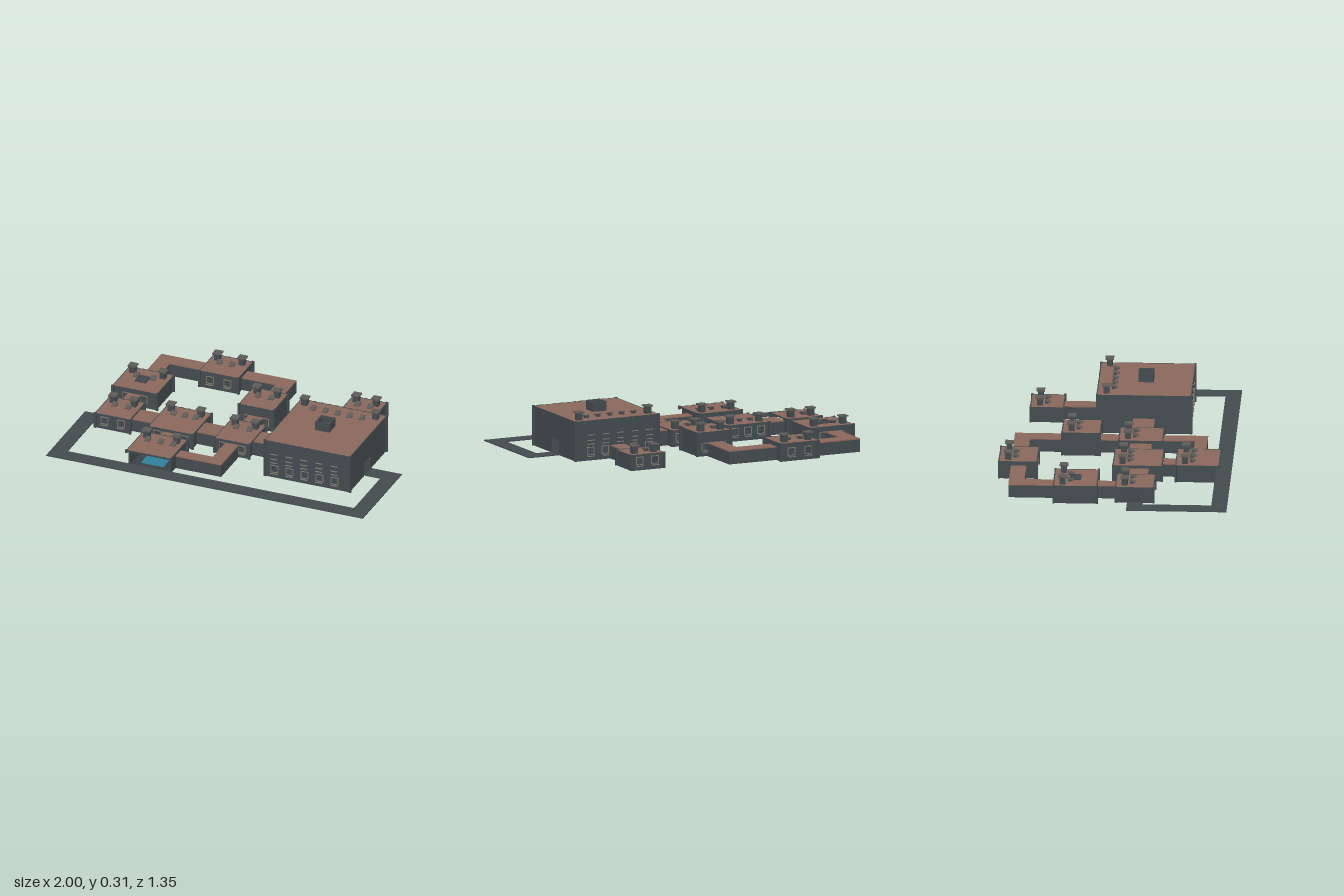
import * as THREE from 'three';

const mat = (color) => new THREE.MeshStandardMaterial({ color, flatShading: true, side: THREE.DoubleSide });
const SLATE = mat(0x434b4f), ROOF = mat(0x8a685b), FLOOR = mat(0x3a4144);
const METAL = mat(0x5c5b58), TRIM = mat(0x827a6e), WATER = mat(0x2f7f9a);
const Y0 = 0.02; // ground level
const T = 0.008; // wall thickness

// Box given by its limits on each axis
function box(parent, name, m, x0, x1, y0, y1, z0, z1) {
  const b = new THREE.Mesh(new THREE.BoxGeometry(x1 - x0, y1 - y0, z1 - z0), m);
  b.position.set((x0 + x1) / 2, (y0 + y1) / 2, (z0 + z1) / 2);
  b.name = name;
  parent.add(b);
  return b;
}

// Upright wall with rectangular holes [a0, a1, b0, b1], drawn in XY and extruded along z
function wall(parent, name, u0, u1, top, holes) {
  const s = new THREE.Shape([[u0, Y0], [u1, Y0], [u1, top], [u0, top]].map(p => new THREE.Vector2(...p)));
  for (const [a0, a1, b0, b1] of holes) {
    s.holes.push(new THREE.Path([[a0, b0], [a0, b1], [a1, b1], [a1, b0]].map(p => new THREE.Vector2(...p))));
  }
  const w = new THREE.Mesh(new THREE.ExtrudeGeometry(s, { depth: T, bevelEnabled: false }), SLATE);
  w.name = name;
  parent.add(w);
  return w;
}

// Window frame, cross bars and planks; z is the outer wall face, d its outward direction
function windowTrim(parent, x, z, d, tall) {
  const g = new THREE.Group();
  g.name = 'window';
  g.position.set(x, 0, z);
  const bar = (m, x0, x1, y0, y1, depth) =>
    box(g, 'windowBar', m, x0, x1, y0, y1, Math.min(0, d * depth), Math.max(0, d * depth));
  for (const s of [-1, 1]) {
    bar(TRIM, s * 0.022 - 0.002, s * 0.022 + 0.002, 0.052, 0.096, 0.004);
    bar(TRIM, -0.024, 0.024, 0.074 + s * 0.022 - 0.002, 0.074 + s * 0.022 + 0.002, 0.004);
  }
  bar(SLATE, -0.0015, 0.0015, 0.054, 0.094, 0.002);
  bar(SLATE, -0.022, 0.022, 0.073, 0.075, 0.002);
  for (const y of tall ? [0.04, 0.112, 0.135, 0.167] : [0.04]) bar(TRIM, -0.026, 0.018, y, y + 0.004, 0.006);
  parent.add(g);
}

function chimney(parent, x, y, z) {
  const g = new THREE.Group();
  g.name = 'chimney';
  g.position.set(x, y, z);
  box(g, 'chimneyStack', SLATE, -0.017, 0.017, 0, 0.044, -0.017, 0.017);
  box(g, 'chimneyCap', METAL, -0.025, 0.025, 0.042, 0.05, -0.025, 0.025);
  parent.add(g);
}

function roofVent(parent, x, y, z) {
  const v = box(parent, 'roofVent', METAL, x - 0.016, x + 0.016, y + 0.011, y + 0.016, z - 0.02, z + 0.02);
  v.rotation.x = 0.28;
  box(parent, 'ventBase', SLATE, x - 0.012, x + 0.012, y, y + 0.012, z - 0.016, z + 0.004);
}

// Open square roof box
function roofShaft(parent, x, z, r, y0, y1, t) {
  for (const s of [-1, 1]) {
    const a = s * (r - t / 2);
    box(parent, 'shaftSide', SLATE, x + a - t / 2, x + a + t / 2, y0, y1, z - r, z + r);
    box(parent, 'shaftSide', SLATE, x - r, x + r, y0, y1, z + a - t / 2, z + a + t / 2);
  }
}

// One building block: walls, windows, roof, corner posts, chimneys and vents
function room(parent, { name, x: [x0, x1], z: [z0, z1], h, windows, vents, door, openFront, inset = 0.035 }) {
  const g = new THREE.Group();
  g.name = name;
  const cx = (x0 + x1) / 2, wx0 = x0 + 0.005, wx1 = x1 - 0.005, wz0 = z0 + 0.005;
  const wz1 = z1 - (openFront ? 0.02 : 0.005), top = h - 0.006;
  const holes = windows.map(x => [x - 0.022, x + 0.022, 0.052, 0.096]);
  wall(g, 'backWall', wx0, wx1, top, holes).position.z = wz0;
  if (!openFront) wall(g, 'frontWall', wx0, wx1, top, holes).position.z = wz1 - T;
  for (const x of windows) {
    windowTrim(g, x, wz0, -1, h > 0.2);
    if (!openFront) windowTrim(g, x, wz1, 1, h > 0.2);
  }
  for (const x of [wx0, wx1 - T]) {
    const side = wall(g, 'sideWall', -wz1, -wz0, top, door ? [[-0.19, -0.09, Y0 + 0.001, Math.min(0.106, top - 0.002)]] : []);
    side.rotation.y = Math.PI / 2;
    side.position.x = x;
  }
  box(g, 'floor', FLOOR, wx0, wx1, Y0 - 0.002, Y0 + 0.002, wz0, wz1);
  box(g, 'roof', ROOF, x0, x1, top, h, z0, z1);
  // Roof edging with studs, and corner posts
  for (const z of [z0, z1]) {
    box(g, 'roofEdge', SLATE, x0, x1, top - 0.002, h + 0.001, z - 0.002, z + 0.002);
    const n = Math.round((x1 - x0) / 0.045);
    for (let i = 1; i < n; i++) {
      const x = x0 + (x1 - x0) * i / n;
      box(g, 'roofStud', SLATE, x - 0.008, x + 0.008, h - 0.008, h + 0.002, z - 0.004, z + 0.004);
    }
    for (const x of [x0, x1]) {
      const low = openFront && z === z1 ? h - 0.015 : Y0;
      box(g, 'cornerPost', SLATE, x - 0.007, x + 0.007, low, h + 0.004, z - 0.006, z + 0.006);
    }
  }
  for (const x of [x0, x1]) box(g, 'sideEdge', SLATE, x - 0.002, x + 0.002, top - 0.002, h + 0.001, z0, z1);
  // Roof fittings near the back edge
  for (const x of [x0 + inset + 0.01, x1 - inset - 0.01]) chimney(g, x, h, z0 + 0.052);
  for (const x of vents) roofVent(g, x, h, z0 + 0.097);
  parent.add(g);
  return { cx };
}

// Covered passage, open at both ends along its axis
function corridor(parent, along, [x0, x1], [z0, z1], h = 0.098) {
  const g = new THREE.Group();
  g.name = 'corridor';
  box(g, 'corridorFloor', FLOOR, x0, x1, Y0 - 0.002, Y0 + 0.001, z0, z1);
  box(g, 'corridorRoof', ROOF, x0, x1, h - 0.006, h, z0, z1);
  for (const s of [0, 1]) {
    if (along === 'x') {
      const z = s ? z1 - T : z0 + 0.002;
      box(g, 'corridorWall', SLATE, x0, x1, Y0, h - 0.006, z, z + T - 0.002);
    } else {
      const x = s ? x1 - T : x0 + 0.002;
      box(g, 'corridorWall', SLATE, x, x + T - 0.002, Y0, h - 0.006, z0, z1);
    }
  }
  parent.add(g);
}

export function createModel() {
  const model = new THREE.Group();
  model.name = 'buildingComplex';
  const spread = (c, d, n) => Array.from({ length: n }, (_, i) => c + d * (i - (n - 1) / 2));

  const rooms = [
    { name: 'northRoom', x: [-0.505, -0.26], z: [-0.673, -0.452], h: 0.125, windows: spread(-0.385, 0.11, 2), vents: [-0.43, -0.353] },
    { name: 'westRoom', x: [-0.9, -0.62], z: [-0.338, -0.085], h: 0.127, windows: spread(-0.76, 0.11, 2), vents: [-0.815, -0.71] },
    { name: 'westEntrance', x: [-0.872, -0.652], z: [0.023, 0.245], h: 0.114, windows: spread(-0.762, 0.105, 2), vents: [-0.8, -0.715], door: true },
    { name: 'centreRoom', x: [-0.52, -0.242], z: [-0.007, 0.277], h: 0.116, windows: spread(-0.38, 0.085, 3), vents: spread(-0.37, 0.07, 3), door: true },
    { name: 'eastUpperRoom', x: [-0.11, 0.108], z: [-0.323, -0.102], h: 0.16, windows: spread(0, 0.11, 2), vents: [-0.04, 0.045] },
    { name: 'eastLowerRoom', x: [-0.11, 0.108], z: [0.007, 0.262], h: 0.116, windows: spread(0, 0.12, 2), vents: [-0.04, 0.045], door: true },
    { name: 'poolRoom', x: [-0.52, -0.242], z: [0.358, 0.61], h: 0.122, windows: spread(-0.38, 0.085, 3), vents: spread(-0.37, 0.08, 3), openFront: true },
    { name: 'mainHall', x: [0.27, 0.808], z: [-0.137, 0.412], h: 0.255, windows: spread(0.52, 0.095, 5), vents: spread(0.54, 0.077, 5), door: true },
    { name: 'annexRoom', x: [0.43, 0.645], z: [-0.532, -0.34], h: 0.112, windows: spread(0.538, 0.1, 2), vents: [0.502, 0.58] },
  ];
  rooms.forEach(r => room(model, r));

  // Roof shafts on the hall and the west room
  const shafts = new THREE.Group();
  shafts.name = 'roofShafts';
  roofShaft(shafts, 0.537, 0.138, 0.045, 0.25, 0.31, 0.01);
  roofShaft(shafts, -0.765, -0.215, 0.033, 0.12, 0.14, 0.008);
  box(shafts, 'shaftCover', SLATE, -0.795, -0.735, 0.127, 0.13, -0.245, -0.185);
  model.add(shafts);

  // Main passage
  corridor(model, 'x', [-0.657, -0.515], [0.073, 0.2]);
  corridor(model, 'x', [-0.247, -0.105], [0.073, 0.2]);
  corridor(model, 'x', [0.103, 0.275], [0.073, 0.2], 0.11);
  // Northern loop
  corridor(model, 'x', [-0.81, -0.5], [-0.605, -0.513]);
  corridor(model, 'x', [-0.265, 0.043], [-0.605, -0.513]);
  corridor(model, 'z', [-0.81, -0.718], [-0.604, -0.333]);
  corridor(model, 'z', [-0.05, 0.043], [-0.604, -0.318]);
  corridor(model, 'z', [-0.803, -0.725], [-0.09, 0.028]);
  corridor(model, 'z', [-0.05, 0.043], [-0.107, 0.012]);
  // Pool room links and annex link
  corridor(model, 'z', [-0.43, -0.338], [0.272, 0.363]);
  corridor(model, 'x', [-0.247, 0.04], [0.448, 0.522]);
  corridor(model, 'z', [-0.043, 0.04], [0.257, 0.521]);
  corridor(model, 'z', [0.492, 0.58], [-0.345, -0.132]);

  // Sunken pool
  const pool = new THREE.Group();
  pool.name = 'pool';
  box(pool, 'poolBasin', SLATE, -0.455, -0.312, 0, 0.021, 0.435, 0.55);
  box(pool, 'poolWater', WATER, -0.455, -0.312, 0.021, 0.025, 0.435, 0.55);
  model.add(pool);

  // Paved path around the front
  const path = new THREE.Shape([
    [-0.868, 0.09], [-1, 0.09], [-1, 0.675], [1, 0.675], [1, 0.09], [0.805, 0.09],
    [0.805, 0.182], [0.905, 0.182], [0.905, 0.583], [-0.905, 0.583], [-0.905, 0.182], [-0.868, 0.182],
  ].map(p => new THREE.Vector2(...p)));
  const paving = new THREE.Mesh(new THREE.ExtrudeGeometry(path, { depth: 0.006, bevelEnabled: false }), SLATE);
  paving.rotation.x = Math.PI / 2;
  paving.position.y = 0.023;
  paving.name = 'path';
  model.add(paving);
  return model;
}
